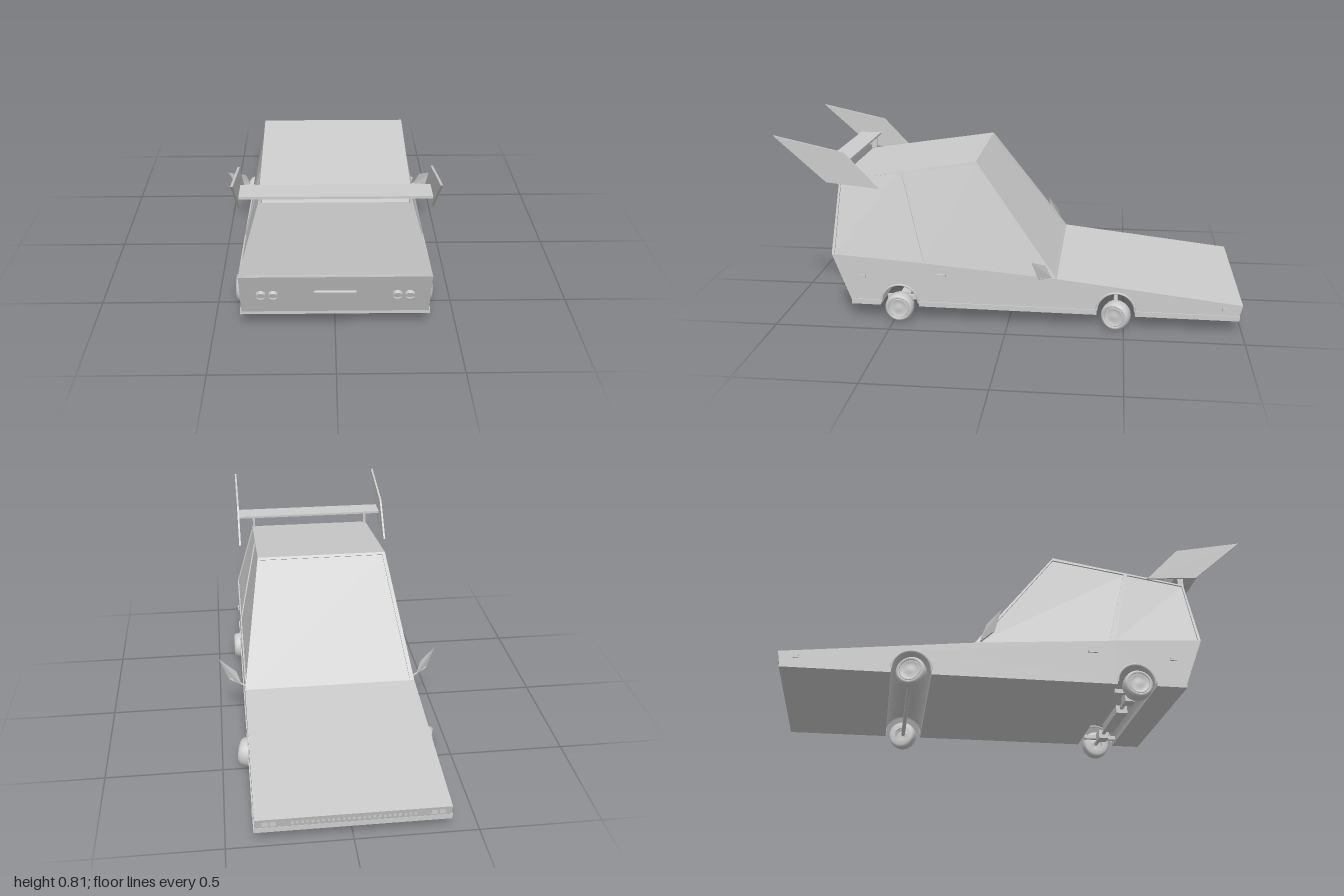
import * as THREE from 'three';

const mat = new THREE.MeshStandardMaterial({ color: 0xcccccc, flatShading: true });
const thinMat = new THREE.MeshStandardMaterial({ color: 0xcccccc, flatShading: true, side: THREE.DoubleSide });
const smoothMat = new THREE.MeshStandardMaterial({ color: 0xcccccc });
const V = (x, y, z) => new THREE.Vector3(x, y, z);

function add(parent, name, geo, x = 0, y = 0, z = 0, material = mat) {
  const m = new THREE.Mesh(geo, material);
  m.name = name;
  m.position.set(x, y, z);
  parent.add(m);
  return m;
}
const box = (p, name, w, h, d, x, y, z) => add(p, name, new THREE.BoxGeometry(w, h, d), x, y, z);

// Geometry from a list of four-cornered faces
function quads(list) {
  const pts = [];
  for (const [a, b, c, d] of list) pts.push(a, b, c, a, c, d);
  const g = new THREE.BufferGeometry().setFromPoints(pts);
  g.computeVertexNormals();
  return g;
}

// Side profile in (z, y), extruded across the width and centred on x
function acrossX(shape, width) {
  return new THREE.ExtrudeGeometry(shape, { depth: width, bevelEnabled: false, curveSegments: 20 })
    .translate(0, 0, -width / 2).rotateY(-Math.PI / 2);
}

// Window: frame around a recessed pane, corners counter-clockwise from outside
function windowPanel(parent, name, [a, b, c, d], mu, mv0, mv1) {
  const at = (u, v) => a.clone().lerp(b, u).lerp(d.clone().lerp(c, u), v);
  const n = c.clone().sub(a).cross(d.clone().sub(b)).normalize().multiplyScalar(-0.006);
  const outer = [a, b, c, d];
  const inner = [at(mu, mv0), at(1 - mu, mv0), at(1 - mu, 1 - mv1), at(mu, 1 - mv1)];
  const deep = inner.map(p => p.clone().add(n));
  const faces = [];
  for (let i = 0; i < 4; i++) {
    const j = (i + 1) % 4;
    faces.push([outer[i], outer[j], inner[j], inner[i]], [inner[i], inner[j], deep[j], deep[i]]);
  }
  add(parent, name + 'Frame', quads(faces), 0, 0, 0, thinMat);
  add(parent, name + 'Glass', quads([deep]), 0, 0, 0, thinMat);
}

// Tyre and dished hub, outer face towards +x
function wheel(parent, name, side, z, steer) {
  const g = new THREE.Group();
  g.name = name;
  const tyre = [[0.03, -0.032], [0.052, -0.032], [0.061, -0.024], [0.0625, 0], [0.061, 0.016],
    [0.055, 0.027], [0.046, 0.03], [0.044, 0.022]].map(p => new THREE.Vector2(...p));
  const hub = [[0.044, 0.024], [0.04, 0.03], [0.034, 0.022], [0.018, 0.024], [0, 0.026]]
    .map(p => new THREE.Vector2(...p));
  for (const [part, pts] of [['tyre', tyre], ['hub', hub]])
    add(g, part, new THREE.LatheGeometry(pts, 28).rotateZ(-Math.PI / 2), 0, 0, 0,
      new THREE.MeshStandardMaterial({ color: 0xcccccc, side: THREE.DoubleSide }));
  g.position.set(side * 0.391, 0.0625, z);
  g.rotation.y = (side < 0 ? Math.PI : 0) + steer;
  parent.add(g);
}

export function createModel() {
  const car = new THREE.Group();
  car.name = 'wedgeCar';
  const W = 0.385, R = 0.295, arches = [0.475, -0.465];

  // Lower body with wheel tunnels running across it
  const body = new THREE.Shape();
  body.moveTo(-0.985, 0.075);
  for (const p of [[-0.998, 0.125], [-0.21, 0.215], [0.38, 0.265], [0.77, 0.292], [0.69, 0.08]]) body.lineTo(...p);
  body.absarc(arches[0], 0.08, 0.085, 0, Math.PI, false);
  body.absarc(arches[1], 0.075, 0.082, 0, Math.PI, false);
  body.closePath();
  add(car, 'lowerBody', acrossX(body, 2 * W));

  // Floor and bumper strip, split by the wheel tunnels
  const low = z => 0.062 + z * 0.006;
  for (const [z0, z1] of [[0.69, 0.56], [0.39, -0.383], [-0.547, -0.987]]) {
    const s = new THREE.Shape([[z0, low(z0)], [z0, low(z0) + 0.022], [z1, low(z1) + 0.022], [z1, low(z1)]]
      .map(p => new THREE.Vector2(...p)));
    add(car, 'floorStrip', acrossX(s, 0.78));
  }

  // Cabin: windscreen, rear window and roof
  const roof = z => 0.70 - (z - 0.145) * 0.15;
  const corner = (s, x, y, z) => V(s * x, y, z);
  const foot = s => corner(s, W, 0.215, -0.21), peak = s => corner(s, R, 0.70, 0.145);
  const tail = s => corner(s, W, 0.292, 0.77), hatch = s => corner(s, R, roof(0.745), 0.745);
  const sill = s => corner(s, W, 0.265, 0.38), pillar = s => corner(s, R, roof(0.48), 0.48);
  windowPanel(car, 'windscreen', [foot(1), foot(-1), peak(-1), peak(1)], 0.025, 0.015, 0.02);
  windowPanel(car, 'rearWindow', [tail(-1), tail(1), hatch(1), hatch(-1)], 0.03, 0.02, 0.045);
  add(car, 'roof', quads([[hatch(-1), hatch(1), peak(1), peak(-1)]]), 0, 0, 0, thinMat);

  for (const s of [-1, 1]) {
    const side = s > 0 ? 'left' : 'right';
    // Side windows
    const order = q => (s > 0 ? q : [q[1], q[0], q[3], q[2]]);
    windowPanel(car, side + 'DoorWindow', order([sill(s), foot(s), peak(s), pillar(s)]), 0.025, 0.015, 0.025);
    windowPanel(car, side + 'QuarterWindow', order([tail(s), sill(s), pillar(s), hatch(s)]), 0.03, 0.015, 0.025);

    // Wheels, arch lips
    wheel(car, side + 'RearWheel', s, arches[0], 0);
    wheel(car, side + 'SteeredWheel', s, arches[1], -0.3);
    for (const z of arches)
      add(car, 'archLip', new THREE.TorusGeometry(0.082, 0.005, 6, 24, Math.PI).rotateY(Math.PI / 2),
        s * 0.385, 0.078, z, smoothMat);

    // Side markers
    for (const [z, y, l] of [[0.64, 0.195, 0.03], [0.29, 0.21, 0.042], [-0.925, 0.105, 0.022]])
      box(car, 'sideMarker', 0.012, 0.014, l, s * 0.386, y, z);

    // Angular wing mirror on a short stalk
    const plate = [[0.495, 0.325, -0.112], [0.42, 0.287, -0.165], [0.397, 0.228, -0.187], [0.455, 0.236, -0.137]]
      .map(p => corner(s, ...p));
    add(car, side + 'Mirror', quads([plate]), 0, 0, 0, thinMat);
    const stalk = new THREE.LineCurve3(corner(s, 0.375, 0.222, -0.19), corner(s, 0.45, 0.238, -0.143));
    add(car, side + 'MirrorStalk', new THREE.TubeGeometry(stalk, 1, 0.004, 6));

    // Spoiler end plate and strut
    const fin = new THREE.Shape([[1, 0.808], [0.70, 0.742], [0.555, 0.588], [0.78, 0.61]]
      .map(p => new THREE.Vector2(...p)));
    add(car, side + 'SpoilerFin', acrossX(fin, 0.009), s * 0.366);
    box(car, side + 'SpoilerStrut', 0.012, 0.065, 0.025, s * 0.287, 0.64, 0.735);
  }

  // Spoiler wing
  box(car, 'spoilerWing', 0.73, 0.01, 0.1, 0, 0.669, 0.77);

  // Tail panel: round lamps with eyelids and a blank plate
  const tailPanel = new THREE.Group();
  tailPanel.name = 'tailPanel';
  tailPanel.position.set(0, 0.19, 0.732);
  tailPanel.rotation.x = 0.364;
  car.add(tailPanel);
  for (const x of [-0.3, -0.25, 0.25, 0.3]) {
    add(tailPanel, 'tailLamp', new THREE.CylinderGeometry(0.021, 0.021, 0.008, 24).rotateX(Math.PI / 2), x, 0, 0.002);
    add(tailPanel, 'lampLid', new THREE.CylinderGeometry(0.019, 0.021, 0.012, 16, 1, Math.PI / 2, Math.PI)
      .rotateX(Math.PI / 2), x, 0, 0.006, thinMat);
  }
  box(tailPanel, 'plate', 0.17, 0.057, 0.01, 0, -0.008, 0.004);

  // Nose: lamps and a row of grille slats
  for (const s of [-1, 1])
    for (const x of [0.315, 0.345]) box(car, 'noseLamp', 0.024, 0.02, 0.012, s * x, 0.1, -0.988);
  for (let i = -12; i <= 12; i++) box(car, 'grilleSlat', 0.01, 0.014, 0.012, i * 0.02, 0.1, -0.987);

  // Axles and running gear in the tunnels
  for (const z of arches)
    add(car, 'axle', new THREE.CylinderGeometry(0.009, 0.009, 0.74, 12).rotateZ(Math.PI / 2), 0, 0.065, z, smoothMat);
  box(car, 'gearbox', 0.25, 0.035, 0.05, 0, 0.058, 0.475);
  for (const s of [-1, 1]) {
    box(car, 'axleBlock', 0.06, 0.04, 0.045, s * 0.24, 0.06, 0.475);
    box(car, 'springArm', 0.018, 0.018, 0.15, s * 0.295, 0.07, 0.475);
  }
  return car;
}
